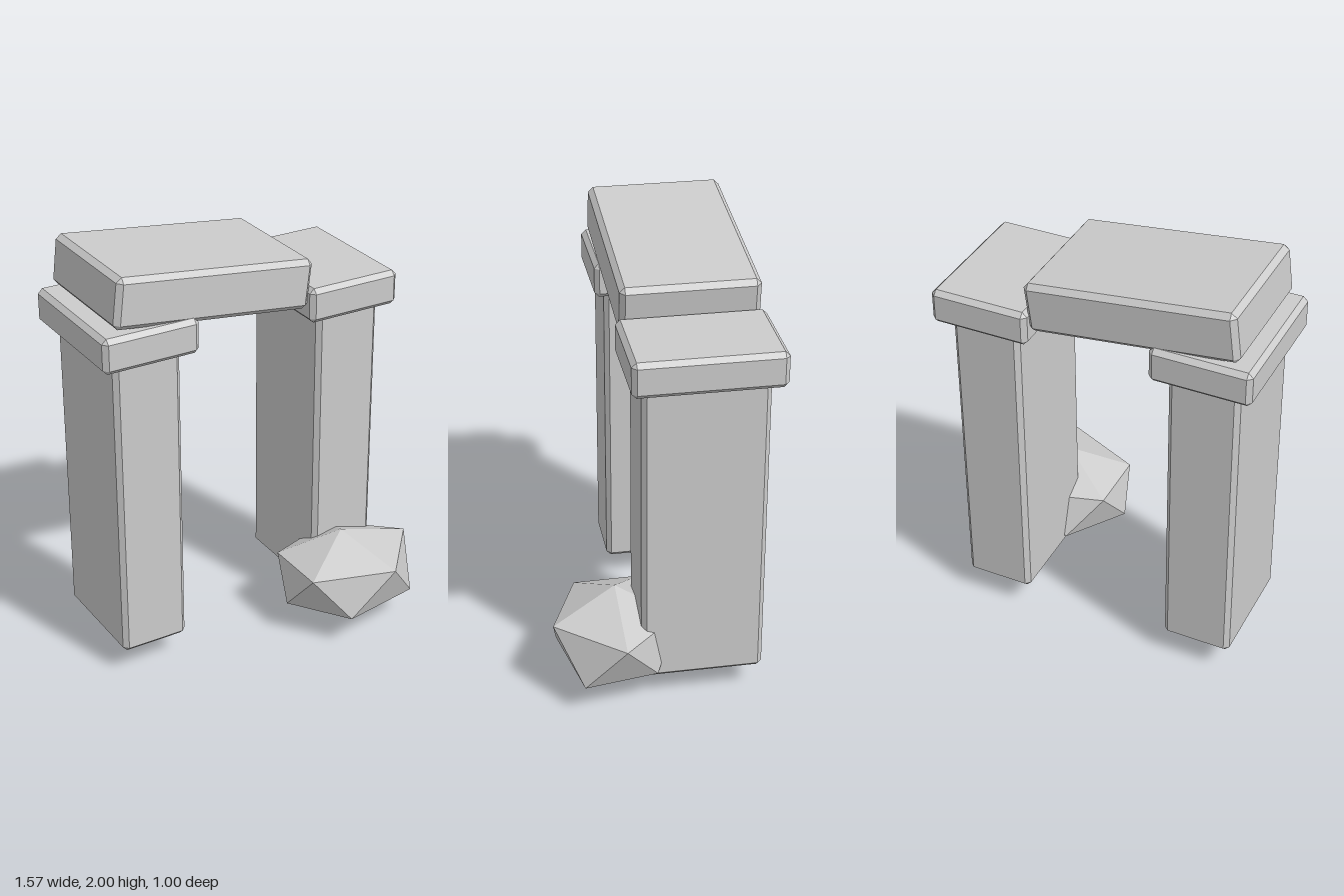
import * as THREE from 'three';
import { ConvexGeometry } from 'three/addons/geometries/ConvexGeometry.js';

const stone = new THREE.MeshStandardMaterial({ color: 0xcccccc, flatShading: true });

// Box with every edge cut at 45 degrees
function chamferedBlock(name, w, h, d, c, x, y, z) {
  const points = [];
  for (const sx of [-1, 1]) for (const sy of [-1, 1]) for (const sz of [-1, 1]) {
    const X = w / 2, Y = h / 2, Z = d / 2;
    points.push(
      new THREE.Vector3(sx * X, sy * (Y - c), sz * (Z - c)),
      new THREE.Vector3(sx * (X - c), sy * Y, sz * (Z - c)),
      new THREE.Vector3(sx * (X - c), sy * (Y - c), sz * Z));
  }
  const mesh = new THREE.Mesh(new ConvexGeometry(points), stone);
  mesh.name = name;
  mesh.position.set(x, y, z);
  return mesh;
}

// Irregular twenty-sided rock: two staggered rings of five between two poles
function boulder() {
  const upper = [1, 1, 0.84, 0.85, 0.9], lower = [0.98, 0.88, 0.8, 0.9, 0.85];
  const ring = (scales, offset, sign) => scales.map((s, i) => {
    const a = (i + offset) * Math.PI * 2 / 5;
    return new THREE.Vector3(0.375 * s * Math.cos(a), sign * s * (sign > 0 ? 0.13 : 0.098), 0.315 * s * Math.sin(a));
  });
  const mesh = new THREE.Mesh(new ConvexGeometry([
    new THREE.Vector3(0, 0.245, 0), new THREE.Vector3(0, -0.245, 0),
    ...ring(upper, 0, 1), ...ring(lower, 0.5, -1)]), stone);
  mesh.name = 'boulder';
  mesh.position.set(0.41, 0.245, 0.2);
  return mesh;
}

export function createModel() {
  const group = new THREE.Group();
  group.name = 'ruinedGateway';

  // Two pillars with wider capstones
  for (const [side, x] of [['right', -0.557], ['left', 0.477]]) {
    group.add(chamferedBlock(side + 'Pillar', 0.326, 1.5, 0.56, 0.022, x, 0.87, -0.168));
    group.add(chamferedBlock(side + 'Capstone', 0.465, 0.165, 0.67, 0.022, x, 1.67, -0.17));
  }

  // Lintel slipped off the left pillar
  const lintel = chamferedBlock('fallenLintel', 0.974, 0.235, 0.625, 0.024, -0.227, 1.83, -0.17);
  lintel.rotation.z = -0.12;
  group.add(lintel);

  // Rock resting against the left pillar
  group.add(boulder());
  return group;
}
